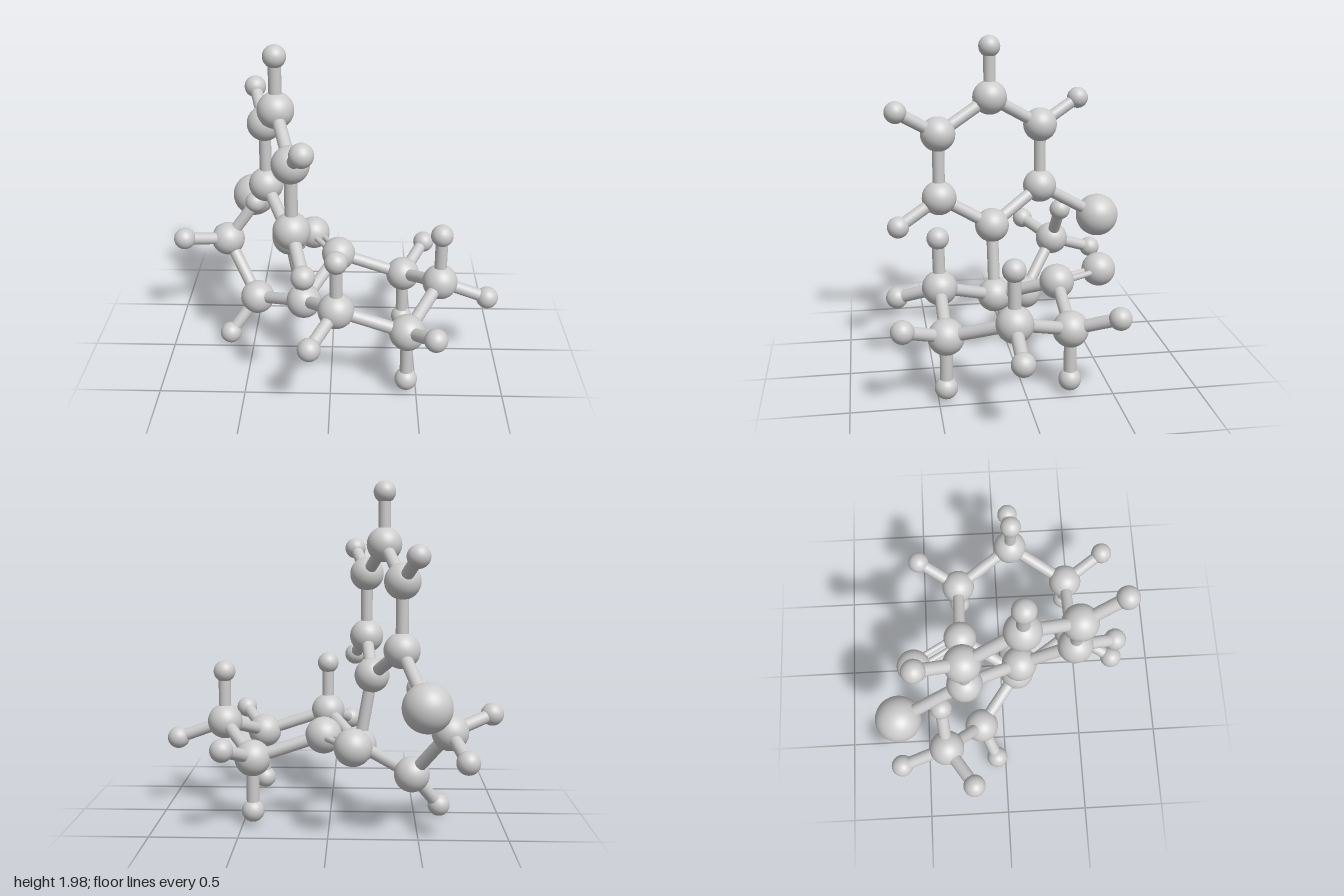
import * as THREE from 'three';

export function createModel() {
  const model = new THREE.Group();
  model.name = 'ballAndStickMolecule';
  const grey = new THREE.MeshStandardMaterial({ color: 0xcccccc });
  grey.name = 'lightGrey';

  const v = (p) => new THREE.Vector3(...p);
  const UP = new THREE.Vector3(0, 1, 0);
  const balls = {
    carbon: new THREE.SphereGeometry(0.105, 32, 20),
    nitrogen: new THREE.SphereGeometry(0.105, 32, 20),
    oxygen: new THREE.SphereGeometry(0.105, 32, 20),
    chlorine: new THREE.SphereGeometry(0.137, 36, 24),
    hydrogen: new THREE.SphereGeometry(0.066, 28, 16),
  };

  function atom(kind, p, parent) {
    const ball = new THREE.Mesh(balls[kind], grey);
    ball.name = kind + 'Ball';
    ball.position.copy(v(p));
    parent.add(ball);
  }

  // Stick between two atom centres, optionally shifted sideways
  function bond(p, q, parent, radius = 0.037, shift = new THREE.Vector3()) {
    const a = v(p), b = v(q), dir = b.clone().sub(a);
    const stick = new THREE.Mesh(new THREE.CylinderGeometry(radius, radius, dir.length(), 20, 1, true), grey);
    stick.name = 'bondStick';
    stick.position.copy(a).add(b).multiplyScalar(0.5).add(shift);
    stick.quaternion.setFromUnitVectors(UP, dir.normalize());
    parent.add(stick);
  }

  function part(name) {
    const g = new THREE.Group();
    g.name = name;
    model.add(g);
    return g;
  }

  // Closed ring of carbons
  function ring(points, parent) {
    points.forEach((p, i) => {
      atom('carbon', p, parent);
      bond(p, points[(i + 1) % points.length], parent);
    });
  }

  // Attach an atom to a base with one stick
  function branch(base, kind, p, parent) {
    atom(kind, p, parent);
    bond(base, p, parent);
  }

  // Upright flat ring
  const flat = part('uprightRing');
  const A = [
    [-0.246, 0.822, 0.1], [-0.214, 1.019, 0.425], [-0.214, 1.411, 0.425],
    [-0.315, 1.606, 0.1], [-0.412, 1.411, -0.228], [-0.412, 1.019, -0.228],
  ];
  ring(A, flat);
  branch(A[1], 'hydrogen', [-0.14, 0.866, 0.68], flat);
  branch(A[2], 'hydrogen', [-0.14, 1.561, 0.675], flat);
  branch(A[3], 'hydrogen', [-0.315, 1.912, 0.1], flat);
  branch(A[4], 'hydrogen', [-0.486, 1.561, -0.48], flat);
  branch(A[5], 'chlorine', [-0.533, 0.771, -0.634], flat);

  // Lying puckered ring
  const chair = part('lyingRing');
  const B = [
    [-0.172, 0.391, 0.097], [0.031, 0.534, 0.452], [0.44, 0.396, 0.452],
    [0.646, 0.534, 0.097], [0.44, 0.396, -0.256], [0.031, 0.534, -0.256],
  ];
  ring(B, chair);
  bond(A[0], B[0], chair);
  branch(B[1], 'hydrogen', [0.031, 0.841, 0.457], chair);
  branch(B[1], 'hydrogen', [-0.112, 0.43, 0.702], chair);
  branch(B[2], 'hydrogen', [0.44, 0.085, 0.457], chair);
  branch(B[2], 'hydrogen', [0.583, 0.5, 0.699], chair);
  branch(B[3], 'hydrogen', [0.646, 0.841, 0.1], chair);
  branch(B[3], 'hydrogen', [0.933, 0.43, 0.097], chair);
  branch(B[4], 'hydrogen', [0.44, 0.085, -0.256], chair);
  branch(B[4], 'hydrogen', [0.583, 0.5, -0.508], chair);

  // Double bond to the oxygen
  const O = [-0.139, 0.536, -0.555];
  atom('oxygen', O, chair);
  const side = v(O).sub(v(B[5])).cross(UP).normalize();
  for (const s of [-1, 1]) bond(B[5], O, chair, 0.018, side.clone().multiplyScalar(s * 0.027));

  // Side arm
  const arm = part('sideArm');
  const N = [-0.48, 0.277, -0.145], M = [-0.68, 0.579, -0.361];
  branch(B[0], 'nitrogen', N, arm);
  branch(N, 'hydrogen', [-0.646, 0.067, -0.054], arm);
  branch(N, 'carbon', M, arm);
  branch(M, 'hydrogen', [-0.932, 0.651, -0.203], arm);
  branch(M, 'hydrogen', [-0.497, 0.83, -0.378], arm);
  branch(M, 'hydrogen', [-0.754, 0.477, -0.641], arm);

  return model;
}
